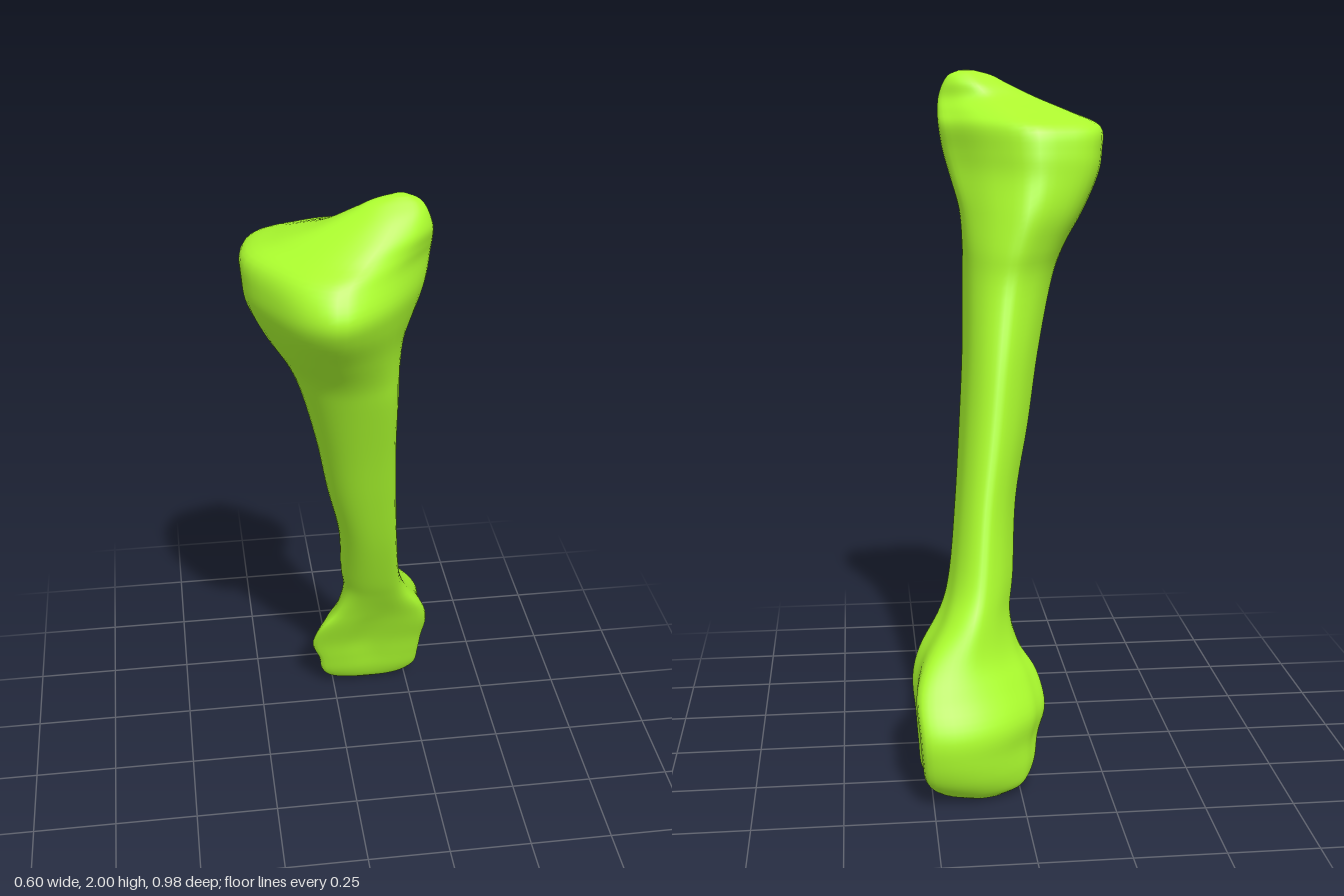
import * as THREE from 'three';

// Outlines in a unit box, 12 points each, running from +x towards +z
const SHAFT = [[.95, 0], [1, .52], [.8, .9], [.1, 1], [-.48, .9], [-.86, .6],
  [-1, .15], [-.8, -.28], [-.44, -.7], [.05, -1], [.5, -.86], [.82, -.48]];
const HEAD = [[1, -.1], [.92, .2], [.5, .7], [0, 1], [-.4, .85], [-.74, .42],
  [-1, -.12], [-.87, -.7], [-.45, -.93], [0, -1], [.45, -.7], [.8, -.34]];
const FOOT = [[.95, .1], [1, .82], [.5, .92], [0, .85], [-.5, .95], [-1, .93],
  [-.88, .45], [-.72, .05], [-.35, -.5], [.1, -.87], [.6, -1], [.98, -.8]];

// Lower end: y, x min, x max, z min, z max, share of the FOOT outline
const footRows = [
  [.002, .06, .16, -.385, -.355, .2],
  [.03, -.01, .235, -.425, -.325, .5],
  [.08, -.042, .275, -.462, -.297, .8],
  [.15, -.052, .283, -.482, -.275, .95],
  [.23, -.075, .288, -.483, -.25, 1],
  [.32, -.055, .295, -.44, -.213, .95],
  [.4, -.01, .275, -.402, -.178, .65],
  [.5, .015, .215, -.36, -.128, .25],
];
// Shaft and upper end, with the share of the HEAD outline
const upperRows = [
  [.6, .005, .185, -.312, -.077, 0],
  [.8, -.012, .16, -.245, .018, 0],
  [1, -.055, .142, -.185, .1, 0],
  [1.2, -.092, .127, -.13, .178, 0],
  [1.4, -.14, .12, -.07, .264, .1],
  [1.5, -.178, .12, -.066, .313, .3],
  [1.6, -.235, .127, -.058, .388, .6],
  [1.7, -.28, .152, -.033, .468, .9],
  [1.77, -.292, .17, -.022, .493, 1],
  [1.84, -.287, .182, .0, .455, 1],
  [1.88, -.205, .184, .075, .405, .9],
  [1.92, -.11, .181, .155, .362, .75],
  [1.96, -.025, .168, .188, .318, .5],
  [1.985, .025, .15, .215, .285, .3],
  [1.998, .075, .12, .235, .265, 0],
];

function section([y, x0, x1, z0, z1, share], shape) {
  return SHAFT.map(([u, v], i) => new THREE.Vector3(
    (x0 + x1) / 2 + (x1 - x0) / 2 * THREE.MathUtils.lerp(u, shape[i][0], share), y,
    (z0 + z1) / 2 + (z1 - z0) / 2 * THREE.MathUtils.lerp(v, shape[i][1], share)));
}

// Smooth skin through closed sections stacked upwards, with both ends closed
function loft(sections, around = 48, perSection = 5) {
  const columns = SHAFT.map((_, k) => new THREE.CatmullRomCurve3(sections.map(s => s[k]), false, 'catmullrom', .5));
  const rows = (sections.length - 1) * perSection;
  const positions = [], index = [];
  for (let r = 0; r <= rows; r++) {
    const ring = new THREE.CatmullRomCurve3(columns.map(c => c.getPoint(r / rows)), true, 'catmullrom', .5);
    for (let j = 0; j < around; j++) positions.push(...ring.getPoint(j / around).toArray());
  }
  for (let r = 0; r < rows; r++) {
    for (let j = 0; j < around; j++) {
      const a = r * around + j, b = r * around + (j + 1) % around;
      index.push(a, a + around, b, b, a + around, b + around);
    }
  }
  const addCap = (row, s, y, up) => {
    const c = s.reduce((sum, p) => sum.add(p), new THREE.Vector3()).divideScalar(s.length);
    const tip = positions.length / 3;
    positions.push(c.x, y, c.z);
    for (let j = 0; j < around; j++) {
      const a = row * around + j, b = row * around + (j + 1) % around;
      index.push(...(up ? [a, tip, b] : [a, b, tip]));
    }
  };
  addCap(0, sections[0], 0, false);
  addCap(rows, sections.at(-1), 2, true);
  const geometry = new THREE.BufferGeometry();
  geometry.setAttribute('position', new THREE.Float32BufferAttribute(positions, 3));
  geometry.setIndex(index);
  geometry.computeVertexNormals();
  return geometry;
}

export function createModel() {
  const group = new THREE.Group();
  group.name = 'bone';
  // One continuous bone: flattened lower end, slanted shaft, wide ridged head
  const sections = [...footRows.map(r => section(r, FOOT)), ...upperRows.map(r => section(r, HEAD))];
  const bone = new THREE.Mesh(loft(sections), new THREE.MeshStandardMaterial({ color: 0xadff2f }));
  bone.name = 'boneBody';
  group.add(bone);
  return group;
}
